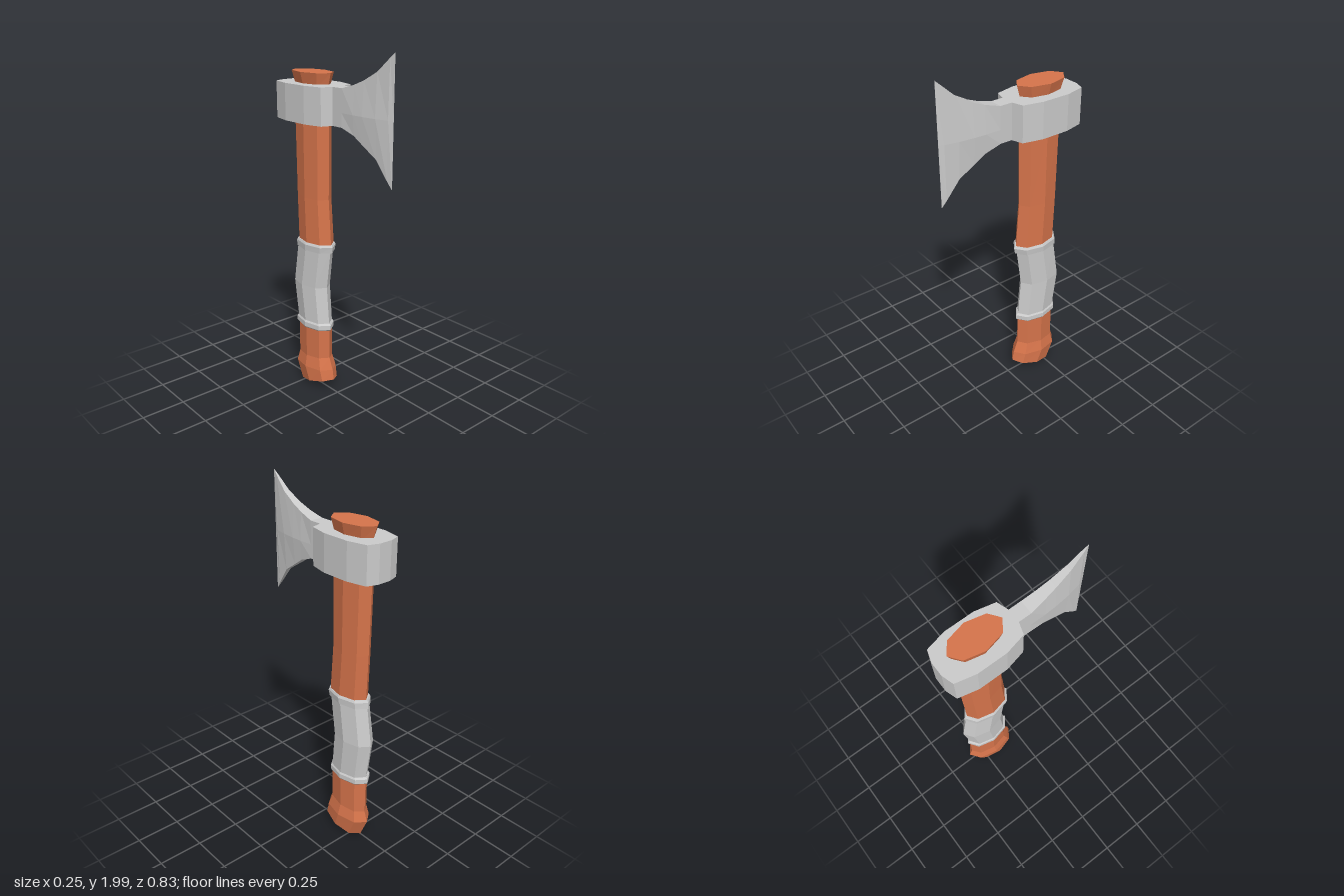
import * as THREE from 'three';

const steel = new THREE.MeshStandardMaterial({ color: 0xcccccc, flatShading: true });
const wood = new THREE.MeshStandardMaterial({ color: 0xd6744b, flatShading: true });

// Skin a list of equal-length rings of Vector3 and close both ends
function loft(name, rings, material) {
  const pos = [];
  const tri = (...pts) => pts.forEach((p) => pos.push(p.x, p.y, p.z));
  const n = rings[0].length;
  for (let i = 0; i < rings.length - 1; i++) {
    for (let j = 0; j < n; j++) {
      const k = (j + 1) % n;
      const [a, b, c, d] = [rings[i][j], rings[i][k], rings[i + 1][k], rings[i + 1][j]];
      tri(a, b, c);
      tri(a, c, d);
    }
  }
  const first = rings[0], last = rings[rings.length - 1];
  for (let j = 1; j < n - 1; j++) {
    tri(first[0], first[j + 1], first[j]);
    tri(last[0], last[j], last[j + 1]);
  }
  const geo = new THREE.BufferGeometry();
  geo.setAttribute('position', new THREE.Float32BufferAttribute(pos, 3));
  geo.computeVertexNormals();
  const mesh = new THREE.Mesh(geo, material);
  mesh.name = name;
  return mesh;
}

// Eight-sided oval section: front z, back z, half width, height at front and back
function oval([zFront, zBack, rx, yFront, yBack = yFront]) {
  return Array.from({ length: 8 }, (_, i) => {
    const a = (i / 8) * Math.PI * 2;
    const t = (1 - Math.cos(a)) / 2;
    return new THREE.Vector3(
      rx * Math.sin(a),
      THREE.MathUtils.lerp(yFront, yBack, t),
      THREE.MathUtils.lerp(zFront, zBack, t)
    );
  });
}

const shaft = (name, sections, material) => loft(name, sections.map(oval), material);

export function createModel() {
  const axe = new THREE.Group();
  axe.name = 'axe';

  // Wooden handle: flared pommel with a slanted base, and the upper shaft
  axe.add(shaft('pommel', [
    [-0.035, -0.3, 0.08, 0.08, 0.01],
    [-0.045, -0.35, 0.085, 0.14, 0.125],
    [-0.073, -0.33, 0.07, 0.21, 0.19],
    [-0.073, -0.33, 0.07, 0.4],
  ], wood));
  axe.add(shaft('upperHandle', [
    [-0.055, -0.315, 0.073, 0.9],
    [-0.075, -0.325, 0.07, 1.18],
    [-0.07, -0.335, 0.07, 1.6],
    [-0.077, -0.33, 0.065, 1.79],
    [-0.055, -0.355, 0.083, 1.865],
  ], wood));

  // Bent wrapped grip between two bands
  axe.add(shaft('grip', [
    [-0.075, -0.33, 0.074, 0.42],
    [-0.095, -0.362, 0.078, 0.65],
    [-0.06, -0.325, 0.074, 0.89],
  ], steel));
  axe.add(shaft('lowerBand', [
    [-0.072, -0.335, 0.074, 0.387],
    [-0.062, -0.345, 0.08, 0.395],
    [-0.062, -0.345, 0.08, 0.422],
    [-0.072, -0.335, 0.074, 0.432],
  ], steel));
  axe.add(shaft('upperBand', [
    [-0.05, -0.335, 0.08, 0.875],
    [-0.043, -0.333, 0.083, 0.91],
    [-0.05, -0.325, 0.077, 0.922],
  ], steel));

  // Collar of the head around the handle
  const half = [[0.038, 0.005], [0.1, -0.015], [0.125, -0.125], [0.125, -0.285], [0.1, -0.395], [0.038, -0.415]];
  const outline = [...half, ...half.map(([x, z]) => [-x, z]).reverse()];
  axe.add(loft('headCollar', [1.605, 1.805].map((y) =>
    outline.map(([x, z]) => new THREE.Vector3(x, y, z))), steel));

  // Blade: z, bottom, top, half width at the rims, half width at the middle
  const blade = [
    [-0.03, 1.605, 1.805, 0.038, 0.038],
    [0.075, 1.605, 1.805, 0.038, 0.038],
    [0.16, 1.575, 1.83, 0.03, 0.038],
    [0.225, 1.532, 1.857, 0.024, 0.035],
    [0.31, 1.477, 1.905, 0.016, 0.026],
    [0.385, 1.375, 1.975, 0.006, 0.011],
    [0.412, 1.34, 2.0, 0.0008, 0.0008],
  ];
  axe.add(loft('blade', blade.map(([z, bottom, top, rim, mid]) => [
    [mid, 1.68], [rim, top], [-rim, top], [-mid, 1.68], [-rim, bottom], [rim, bottom],
  ].map(([x, y]) => new THREE.Vector3(x, y, z))), steel));

  return axe;
}
